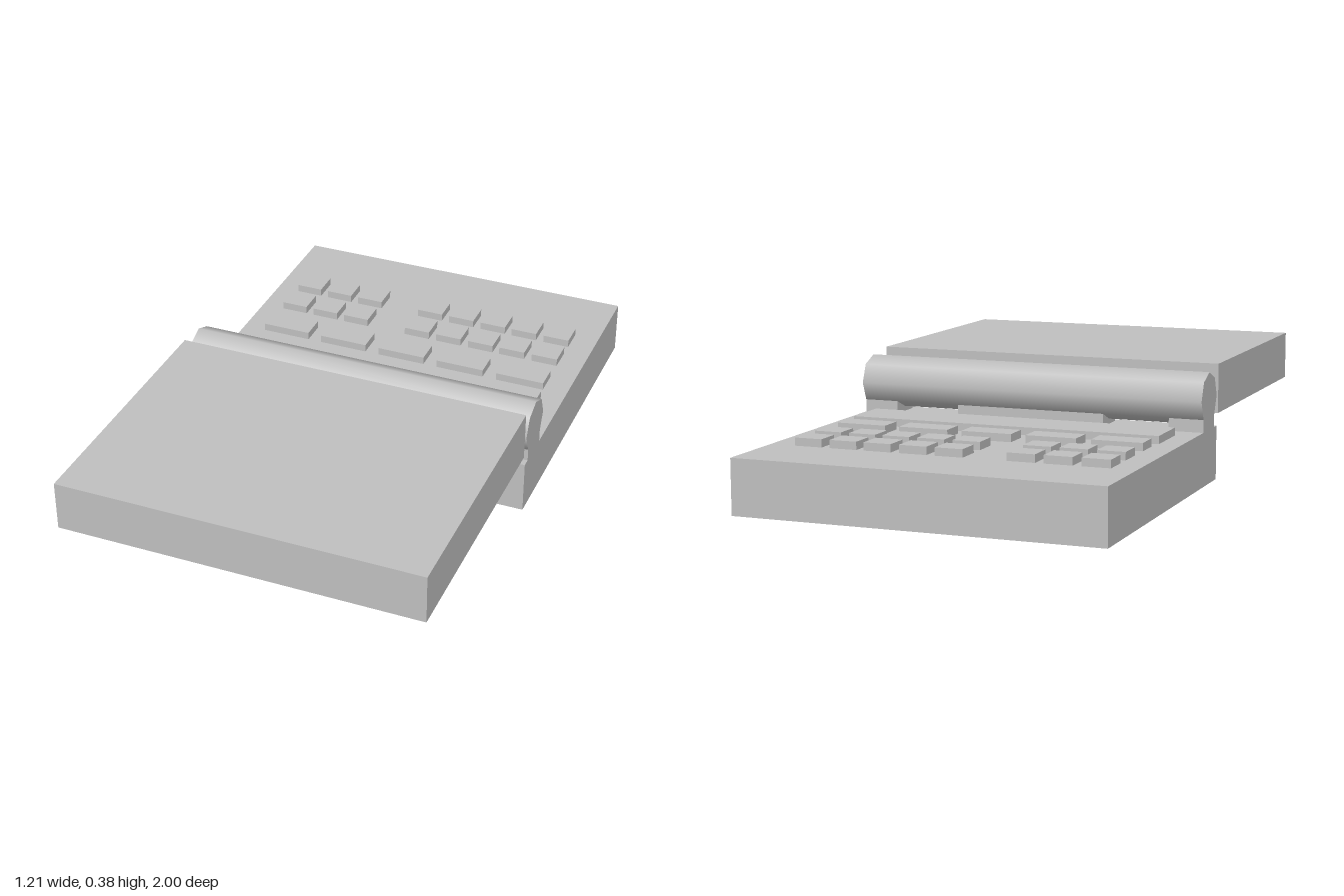
import * as THREE from 'three';

export function createModel() {
  const model = new THREE.Group();
  const grey = new THREE.MeshStandardMaterial({ color: 0xc0c0c0 });
  grey.name = 'light grey';

  // Box given by its limits along each axis
  function box(name, x0, x1, y0, y1, z0, z1, parent = model) {
    const mesh = new THREE.Mesh(new THREE.BoxGeometry(x1 - x0, y1 - y0, z1 - z0), grey);
    mesh.position.set((x0 + x1) / 2, (y0 + y1) / 2, (z0 + z1) / 2);
    mesh.name = name;
    parent.add(mesh);
  }

  const W = 0.605, deck = 0.18;

  // Two halves of the folding case
  box('base', -W, W, 0, deck, -1, 0.09);
  box('lid', -W, W, 0.22, 0.385, 0.105, 1);

  // Hinge: eight-sided barrel, smooth along its round side
  const hinge = new THREE.Group();
  hinge.name = 'hinge';
  model.add(hinge);
  const barrel = new THREE.Mesh(new THREE.CylinderGeometry(0.087, 0.087, 2 * W, 8), grey);
  barrel.name = 'hingeBarrel';
  barrel.rotation.z = Math.PI / 2;
  barrel.position.y = 0.284;
  hinge.add(barrel);

  // Necks carry the barrel on the base, arms join it to the lid
  box('middleNeck', -0.26, 0.26, deck, 0.235, -0.061, 0.061, hinge);
  for (const [side, s] of [['left', 1], ['right', -1]]) {
    const [n0, n1] = [s * 0.487, s * W].sort((a, b) => a - b);
    const [a0, a1] = [s * 0.26, s * 0.487].sort((a, b) => a - b);
    box(side + 'Neck', n0, n1, deck, 0.235, -0.061, 0.061, hinge);
    box(side + 'LidArm', a0, a1, 0.22, 0.344, 0.03, 0.105, hinge);
  }

  // Keyboard: two rows of small keys, one of wide keys, one long bar
  const keys = new THREE.Group();
  keys.name = 'keyboard';
  model.add(keys);
  const keyTop = 0.206;
  for (const z of [-0.745, -0.61]) {
    for (const x of [-0.525, -0.405, -0.285, -0.05, 0.07, 0.19, 0.307, 0.427]) {
      box('smallKey', x, x + 0.092, deck, keyTop, z, z + 0.087, keys);
    }
  }
  for (let i = 0; i < 5; i++) {
    const x = -0.525 + i * 0.219;
    box('wideKey', x, x + 0.17, deck, keyTop, -0.445, -0.36, keys);
  }
  box('longBar', -0.533, 0.53, deck, keyTop, -0.31, -0.14, keys);

  return model;
}
